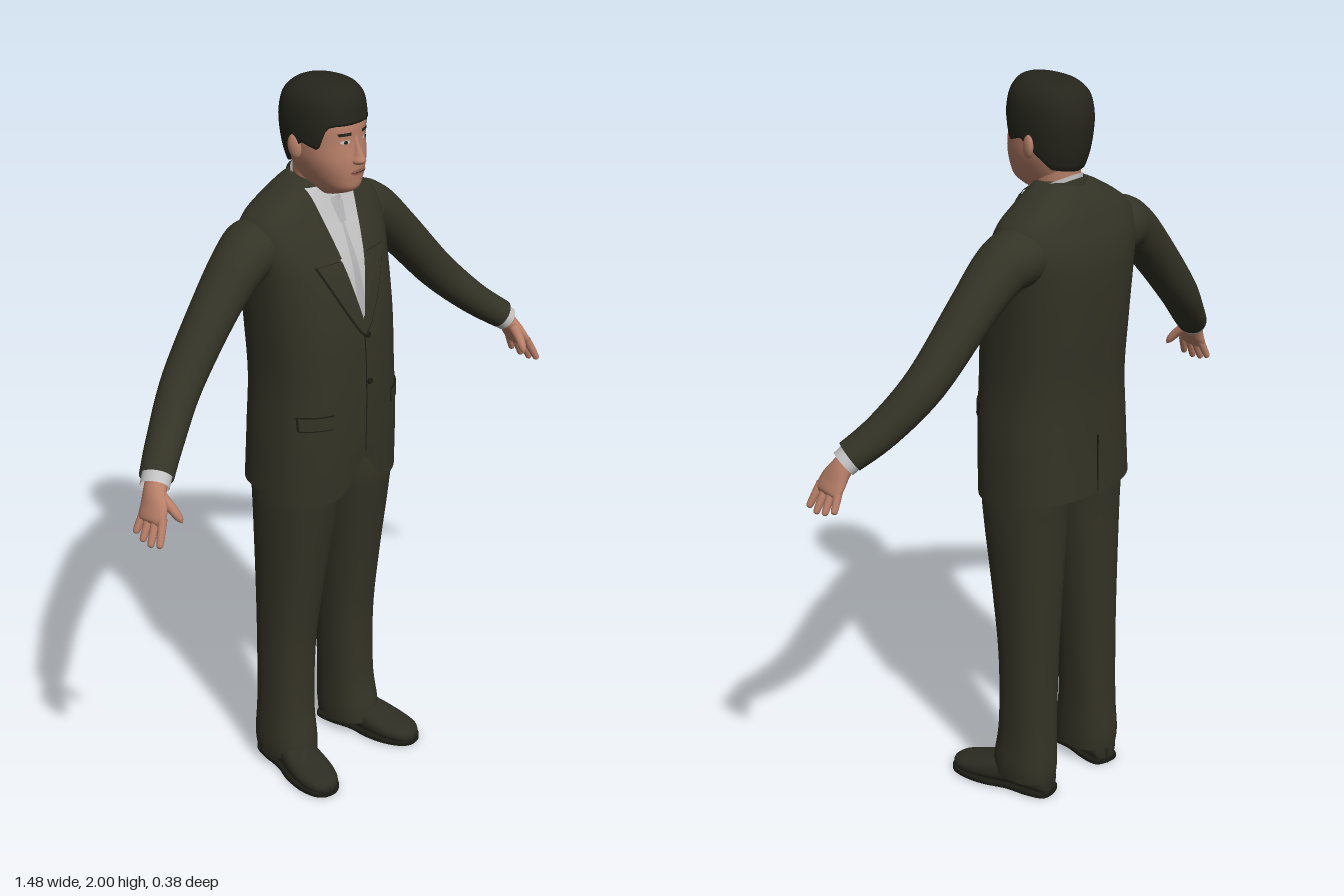
import * as THREE from 'three';

const paint = (name, color) => Object.assign(
  new THREE.MeshStandardMaterial({ color, side: THREE.DoubleSide }), { name });
const suit = paint('suit cloth', 0x333326);
const seam = paint('dark seam', 0x1c1c15);
const shirt = paint('shirt', 0xc2c2c2);
const tieGrey = paint('tie', 0xb0b0b2);
const skin = paint('skin', 0xb98069);
const lip = paint('lips', 0x9c6455);
const hairDark = paint('hair', 0x25251c);
const leather = paint('shoe leather', 0x2e2d23);
const eyeWhite = paint('eye white', 0xc9c4bc);

// Smooth interpolation of a table of rows
function sample(rows, per = 6) {
  const out = [], last = rows.length - 1;
  for (let k = 0; k <= last * per; k++) {
    const i = Math.min(Math.floor(k / per), last - 1), t = k / per - i;
    const a = rows[Math.max(i - 1, 0)], b = rows[i], c = rows[i + 1], d = rows[Math.min(i + 2, last)];
    out.push(b.map((_, j) => {
      const cubic = 3 * (b[j] - c[j]) + d[j] - a[j];
      const square = 2 * a[j] - 5 * b[j] + 4 * c[j] - d[j];
      return b[j] + 0.5 * t * (c[j] - a[j] + t * (square + t * cubic));
    }));
  }
  return out;
}

// Surface grid from a point function, optionally closed in u
function grid(nu, nv, closed, f) {
  const pos = [], idx = [], w = closed ? nu : nu + 1;
  for (let j = 0; j <= nv; j++) for (let i = 0; i < w; i++) pos.push(...f(i / nu, j / nv, j));
  for (let j = 0; j < nv; j++) for (let i = 0; i < nu; i++) {
    const a = j * w + i, b = j * w + (i + 1) % w;
    idx.push(a, a + w, b, b, a + w, b + w);
  }
  const g = new THREE.BufferGeometry();
  g.setAttribute('position', new THREE.Float32BufferAttribute(pos, 3));
  g.setIndex(idx);
  g.computeVertexNormals();
  return g;
}

const pow = (c, p) => Math.sign(c) * Math.abs(c) ** (2 / p);
// Point on a row [y, centreX, halfWidth, zFront, zBack]
const ringPoint = ([y, cx, hw, zf, zb], a, p) =>
  [cx + hw * pow(Math.cos(a), p), y, (zf + zb) / 2 + (zf - zb) / 2 * pow(Math.sin(a), p)];

function loft(rows, { n = 40, p = 2, warp = q => q } = {}) {
  const fine = sample(rows);
  return grid(n, fine.length - 1, true, (u, v, j) => warp(ringPoint(fine[j], u * Math.PI * 2, p)));
}

// Limb through rows [x, y, z, radius, radiusZ]
function limb(rows, n = 24, per = 6) {
  const fine = sample(rows, per), V = r => new THREE.Vector3(r[0], r[1], r[2]);
  return grid(n, fine.length - 1, true, (u, v, j) => {
    const t = V(fine[Math.min(j + 1, fine.length - 1)]).sub(V(fine[Math.max(j - 1, 0)])).normalize();
    const side = t.clone().cross(new THREE.Vector3(0, 0, 1)).normalize(), other = side.clone().cross(t);
    const a = u * Math.PI * 2;
    return V(fine[j]).addScaledVector(side, fine[j][3] * Math.cos(a))
      .addScaledVector(other, fine[j][4] * Math.sin(a)).toArray();
  });
}

function rowAt(fine, y) {
  let i = 0;
  while (i < fine.length - 2 && fine[i + 1][0] < y) i++;
  const a = fine[i], b = fine[i + 1], t = THREE.MathUtils.clamp((y - a[0]) / (b[0] - a[0]), 0, 1);
  return a.map((v, j) => v + (b[j] - v) * t);
}

// Thin patch lying on the front of a lofted body, between xa(t) and xb(t)
function patch(fine, p, y0, y1, xa, xb, lift) {
  return grid(10, 14, false, (u, v) => {
    const y = y0 + (y1 - y0) * v, [, , hw, zf, zb] = rowAt(fine, y);
    const x = xb(v) + (xa(v) - xb(v)) * u, k = Math.min(Math.abs(x) / hw, 0.97);
    return [x, y, (zf + zb) / 2 + (zf - zb) / 2 * (1 - k ** p) ** (1 / p) + lift];
  });
}

const torsoRows = [[.88, 0, .215, .14, -.18], [1.05, 0, .21, .145, -.175], [1.2, 0, .2, .145, -.175],
  [1.35, 0, .203, .135, -.185], [1.5, 0, .212, .105, -.19], [1.58, 0, .222, .075, -.182],
  [1.64, 0, .21, .047, -.162], [1.68, 0, .165, .03, -.145], [1.725, 0, .09, .012, -.118], [1.74, 0, .05, 0, -.1]];
const headRows = [[1.7, 0, .03, .05, -.05], [1.722, 0, .048, .1, -.07], [1.755, 0, .067, .11, -.085],
  [1.8, 0, .083, .112, -.1], [1.85, 0, .089, .106, -.11], [1.9, 0, .09, .103, -.115],
  [1.95, 0, .08, .08, -.1], [1.985, 0, .04, .04, -.05]];
const hairRows = [[1.75, 0, .072, .1, -.095], [1.8, 0, .088, .11, -.113], [1.85, 0, .095, .112, -.123],
  [1.9, 0, .097, .11, -.126], [1.95, 0, .09, .102, -.115], [1.98, 0, .068, .086, -.088],
  [1.994, 0, .04, .065, -.05], [2, 0, .002, .012, .008]];

export function createModel() {
  const model = new THREE.Group();
  const add = (name, geo, mat) => {
    const m = new THREE.Mesh(geo, mat);
    m.name = name;
    model.add(m);
  };
  const pair = (name, geo, mat) => {
    add(name + 'Left', geo, mat);
    const g = geo.clone().scale(-1, 1, 1), ix = g.index.array;
    for (let i = 0; i < ix.length; i += 3) [ix[i], ix[i + 1]] = [ix[i + 1], ix[i]];
    g.computeVertexNormals();
    add(name + 'Right', g, mat);
  };

  // Jacket with rounded front opening at the hem
  const torso = sample(torsoRows), P = 2.5;
  add('jacket', loft(torsoRows, { n: 96, p: P, warp: ([x, y, z]) =>
    [x, y + (y < 1.02 ? (1.02 - y) / .14 * (z > 0 ? .1 * Math.exp(-((x / .05) ** 2)) : .02) : 0), z] }), suit);
  const onTorso = (y0, y1, xa, xb, lift) => patch(torso, P, y0, y1, xa, xb, lift);
  const vee = t => .082 * t ** .9;
  add('shirtFront', onTorso(1.37, 1.72, t => -vee(t), vee, .003), shirt);
  const tieHalf = t => .004 + .014 * (1 - t) * Math.min(1, t * 4);
  add('tie', onTorso(1.385, 1.63, t => -tieHalf(t), tieHalf, .006), tieGrey);
  add('tieKnot', onTorso(1.625, 1.675, t => -.011 - .009 * t, t => .011 + .009 * t, .009), tieGrey);
  pair('collarWing', onTorso(1.61, 1.7, t => .045 - .033 * t, t => .047 + .02 * t, .008), shirt);
  pair('lapelEdge', onTorso(1.33, 1.54, t => .05 * t, t => .003 + .123 * t ** .8, .0045), seam);
  pair('lapel', onTorso(1.335, 1.54, t => Math.max(0, t - .17) * .052, t => .12 * t ** .8, .007), suit);
  pair('jacketCollar', onTorso(1.545, 1.725, t => .041 + .038 * t, t => .108 - .02 * t, .007), suit);
  add('frontSeam', onTorso(1, 1.36, () => -.0015, () => .0025, .002), seam);
  pair('pocketShadow', onTorso(1.098, 1.14, () => .108, () => .187, .002), seam);
  pair('pocketFlap', onTorso(1.102, 1.137, () => .11, () => .185, .005), suit);
  for (const y of [1.2, 1.33]) {
    add('button', new THREE.CylinderGeometry(.008, .008, .006, 16).rotateX(Math.PI / 2)
      .translate(.012, y, rowAt(torso, y)[3] + .003), seam);
  }
  add('backVent', new THREE.BoxGeometry(.003, .16, .004).translate(0, .985, -.178), seam);

  // Collars round the neck, higher at the back
  add('collarBack', loft([[1.64, 0, .085, .03, -.125], [1.712, 0, .072, .03, -.11]], { warp: ([x, y, z]) =>
    [x, y - (z + .035) * .5 - Math.max(0, z + .02) * 1.5, z] }), suit);
  add('shirtCollar', loft([[1.63, 0, .07, .045, -.1], [1.725, 0, .064, .037, -.1]], { warp: ([x, y, z]) =>
    [x, y - (z + .035) * .5, z] }), shirt);

  // Sleeves, cuffs and hands
  pair('sleeve', limb([[.13, 1.575, -.07, .06, .075], [.19, 1.575, -.068, .077, .085], [.25, 1.55, -.062, .07, .075],
    [.34, 1.468, -.055, .06, .065], [.48, 1.315, -.035, .053, .056], [.585, 1.21, .01, .045, .05],
    [.662, 1.147, .055, .04, .045]]), suit);
  pair('cuff', limb([[.63, 1.173, .036, .036, .04], [.676, 1.13, .063, .034, .039]]), shirt);
  pair('palm', limb([[.65, 1.155, .05, .026, .03], [.68, 1.118, .067, .023, .033], [.697, 1.085, .08, .019, .043],
    [.711, 1.06, .086, .014, .042], [.715, 1.052, .087, .003, .03]]), skin);
  for (let i = 0; i < 4; i++) {
    const z0 = .053 + .022 * i, z1 = .046 + .03 * i, len = [.8, .95, 1, .9][i];
    const at = (t, r) => [.703 + .034 * t * len, 1.072 - .072 * t * len, z0 + (z1 - z0) * t, r, r];
    pair('finger', limb([at(0, .0115), at(.5, .0105), at(.88, .009), at(.97, .006), at(1, .001)], 12, 3), skin);
  }
  pair('thumb', limb([[.678, 1.115, .085, .014, .016], [.672, 1.09, .115, .013, .013], [.665, 1.065, .136, .01, .01],
    [.661, 1.052, .143, .001, .001]], 12, 4), skin);

  // Trousers
  pair('trouserLeg', loft([[.045, .126, .071, .062, -.12], [.09, .126, .073, .06, -.124], [.2, .122, .07, .045, -.12],
    [.4, .117, .074, .046, -.12], [.6, .111, .084, .07, -.125], [.8, .104, .098, .1, -.132],
    [.9, .1, .1, .112, -.14], [1.02, .095, .09, .1, -.14]], { p: 2.3 }), suit);

  // Shoes, built heel to toe and turned outwards
  const place = g => g.rotateX(Math.PI / 2).rotateY(.2).translate(.14, 0, 0);
  pair('shoe', place(loft([[-.123, 0, .004, -.01, -.05], [-.115, 0, .035, -.005, -.08], [-.07, 0, .046, -.005, -.1],
    [0, 0, .047, -.005, -.1], [.06, 0, .056, -.005, -.08], [.12, 0, .056, -.005, -.06], [.165, 0, .043, -.006, -.048],
    [.185, 0, .022, -.01, -.038], [.19, 0, .003, -.015, -.028]], { p: 2.4 })), leather);
  pair('sole', place(loft([[-.127, 0, .002, 0, -.016], [-.118, 0, .037, 0, -.016], [-.07, 0, .048, 0, -.016],
    [0, 0, .047, 0, -.016], [.06, 0, .059, 0, -.016], [.12, 0, .059, 0, -.016], [.168, 0, .045, 0, -.016],
    [.189, 0, .023, 0, -.016], [.194, 0, .002, -.002, -.016]], { p: 6 })), seam);

  // Neck and head
  const head = sample(headRows), H = 2.2;
  add('neck', loft([[1.6, 0, .055, .02, -.09], [1.7, 0, .056, .028, -.092], [1.79, 0, .058, .04, -.098]]), skin);
  add('head', loft(headRows, { p: H }), skin);
  add('nose', loft([[1.792, 0, .003, .112, .1], [1.796, 0, .015, .126, .08], [1.805, 0, .018, .135, .08],
    [1.82, 0, .012, .129, .08], [1.85, 0, .008, .113, .08], [1.872, 0, .01, .104, .08]], { n: 20 }), skin);
  pair('ear', new THREE.SphereGeometry(1, 16, 12).scale(.011, .032, .019).rotateX(-.15)
    .rotateY(-.3).translate(.092, 1.832, -.018), skin);

  // Facial features
  const bulge = t => Math.sqrt(Math.max(0, 1 - (2 * t - 1) ** 2));
  const lens = (cx, w) => [t => cx - w * bulge(t), t => cx + w * bulge(t)];
  pair('eye', patch(head, H, 1.851, 1.861, ...lens(.035, .013), .002), eyeWhite);
  pair('iris', patch(head, H, 1.8515, 1.8605, ...lens(.035, .005), .004), seam);
  pair('eyebrow', patch(head, H, 1.872, 1.88, () => .019, t => .05 + .005 * t, .003), hairDark);
  add('lips', patch(head, H, 1.766, 1.782, ...lens(0, .027), .005), lip);
  add('mouthLine', patch(head, H, 1.7735, 1.7755, ...lens(0, .024), .007), seam);

  // Hair cap with a hairline that drops at the sideburns and nape
  const hair = sample(hairRows);
  const line = [[0, 1.9], [35, 1.9], [48, 1.895], [62, 1.835], [85, 1.85], [105, 1.815], [130, 1.775], [180, 1.765]];
  add('hair', grid(72, 26, true, (u, v, j) => {
    const a = u * Math.PI * 2, deg = Math.acos(Math.sin(a)) * 180 / Math.PI;
    const y0 = rowAt(line, deg)[1], k = j === 0 ? .9 : 1;
    const s = Math.sin(Math.max(0, j - 1) / 25 * Math.PI / 2);
    const q = ringPoint(rowAt(hair, y0 + (2 - y0) * s), a, H);
    const wave = 1 + .012 * Math.sin(a * 18) * s * (1 - s);
    return [q[0] * k * wave, q[1], q[2] * k * wave];
  }), hairDark);

  return model;
}
